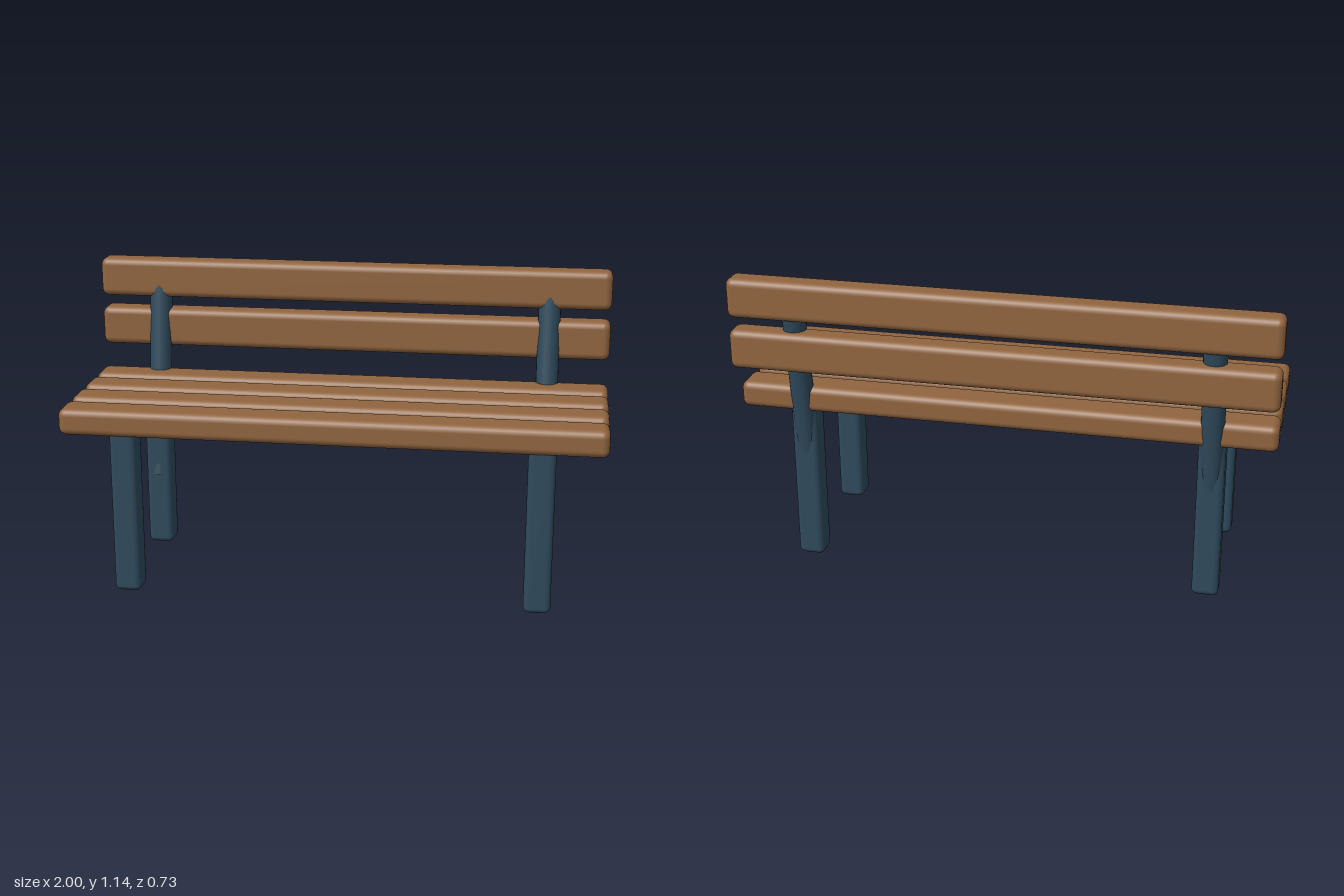
import * as THREE from 'three';
import { RoundedBoxGeometry } from 'three/addons/geometries/RoundedBoxGeometry.js';

export function createModel() {
  const bench = new THREE.Group();
  bench.name = 'bench';

  const wood = new THREE.MeshStandardMaterial({ color: 0x91653f });
  wood.name = 'brown wood';
  const metal = new THREE.MeshStandardMaterial({ color: 0x2f4a5c });
  metal.name = 'blue painted metal';

  const add = (name, geometry, material, x, y, z) => {
    const mesh = new THREE.Mesh(geometry, material);
    mesh.name = name;
    mesh.position.set(x, y, z);
    bench.add(mesh);
    return mesh;
  };

  // Seat slats, front to back
  const seatSlat = new RoundedBoxGeometry(2, 0.1, 0.134, 3, 0.027);
  [0.3, 0.13, -0.04, -0.21].forEach((z, i) =>
    add(`seatSlat${i + 1}`, seatSlat, wood, 0, 0.661, z));

  // Backrest slats
  const backSlat = new RoundedBoxGeometry(2, 0.15, 0.1, 3, 0.027);
  add('lowerBackSlat', backSlat, wood, 0, 0.874, -0.315);
  add('upperBackSlat', backSlat, wood, 0, 1.07, -0.315);

  // Legs and the leaning round posts that carry the backrest
  const leg = new RoundedBoxGeometry(0.1, 0.64, 0.1, 3, 0.022);
  const post = new THREE.CylinderGeometry(0.043, 0.043, 0.84, 20);
  for (const [side, x] of [['left', 0.765], ['right', -0.765]]) {
    add(`${side}FrontLeg`, leg, metal, x, 0.32, 0.3);
    add(`${side}BackLeg`, leg, metal, x, 0.32, -0.21);
    add(`${side}BackPost`, post, metal, x, 0.7, -0.257).rotation.x = -0.148;
  }

  return bench;
}
